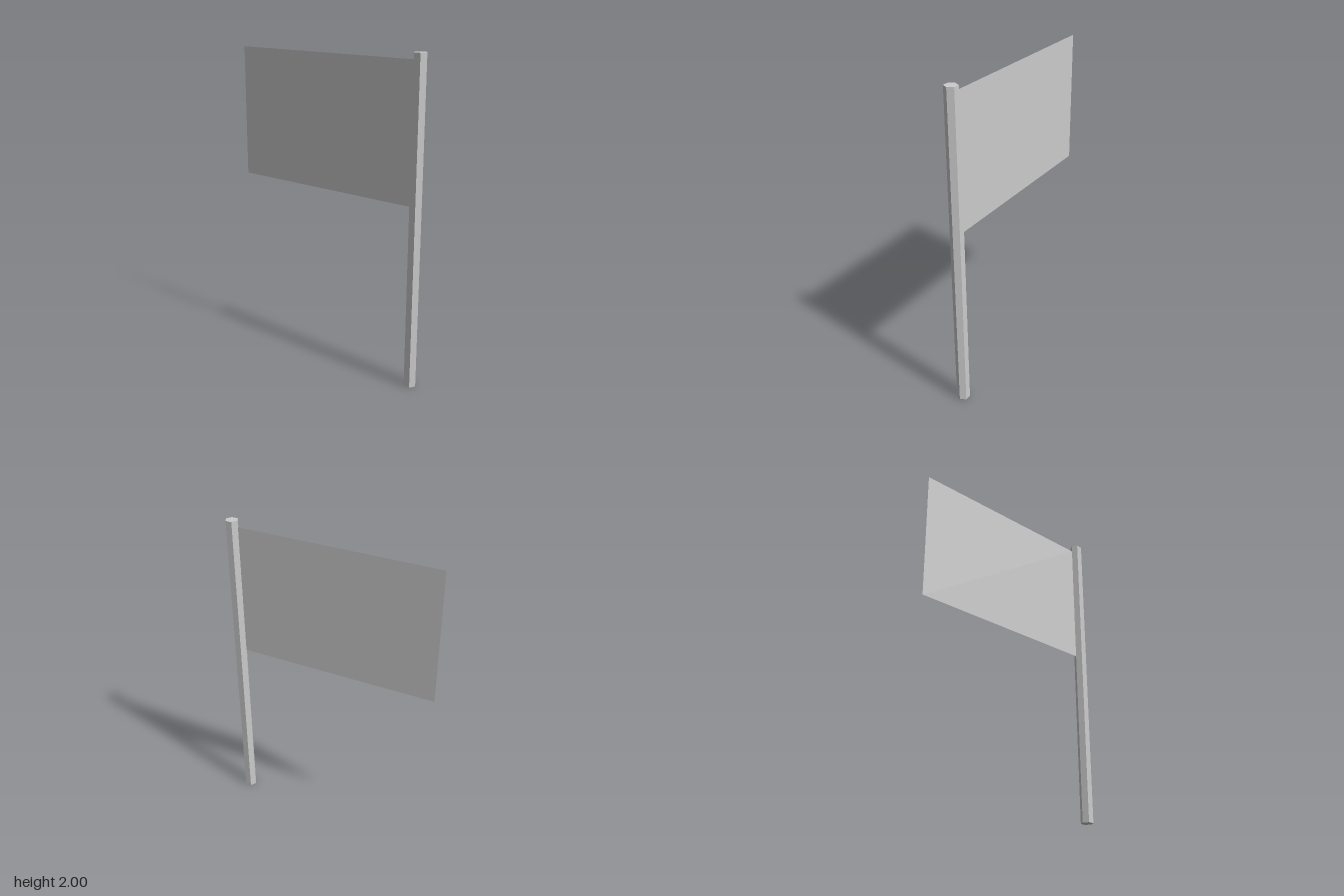
import * as THREE from 'three';

export function createModel() {
  const group = new THREE.Group();
  const poleX = 0.643, poleRadius = 0.04, poleHeight = 2;
  const flagLeft = -0.683, flagBottom = 1.126, flagTop = 1.959;

  // Hexagonal pole, with corners pointing along x
  const pole = new THREE.Mesh(
    new THREE.CylinderGeometry(poleRadius, poleRadius, poleHeight, 6, 1, false, Math.PI / 6),
    new THREE.MeshStandardMaterial({ color: 0xcccccc, flatShading: true })
  );
  pole.name = 'pole';
  pole.position.set(poleX, poleHeight / 2, 0);
  group.add(pole);

  // Flat cloth sheet, attached along the pole's edge
  const flagRight = poleX - poleRadius;
  const flag = new THREE.Mesh(
    new THREE.PlaneGeometry(flagRight - flagLeft, flagTop - flagBottom),
    new THREE.MeshStandardMaterial({ color: 0xcccccc, side: THREE.DoubleSide })
  );
  flag.name = 'flag';
  flag.position.set((flagLeft + flagRight) / 2, (flagBottom + flagTop) / 2, 0);
  group.add(flag);

  return group;
}
